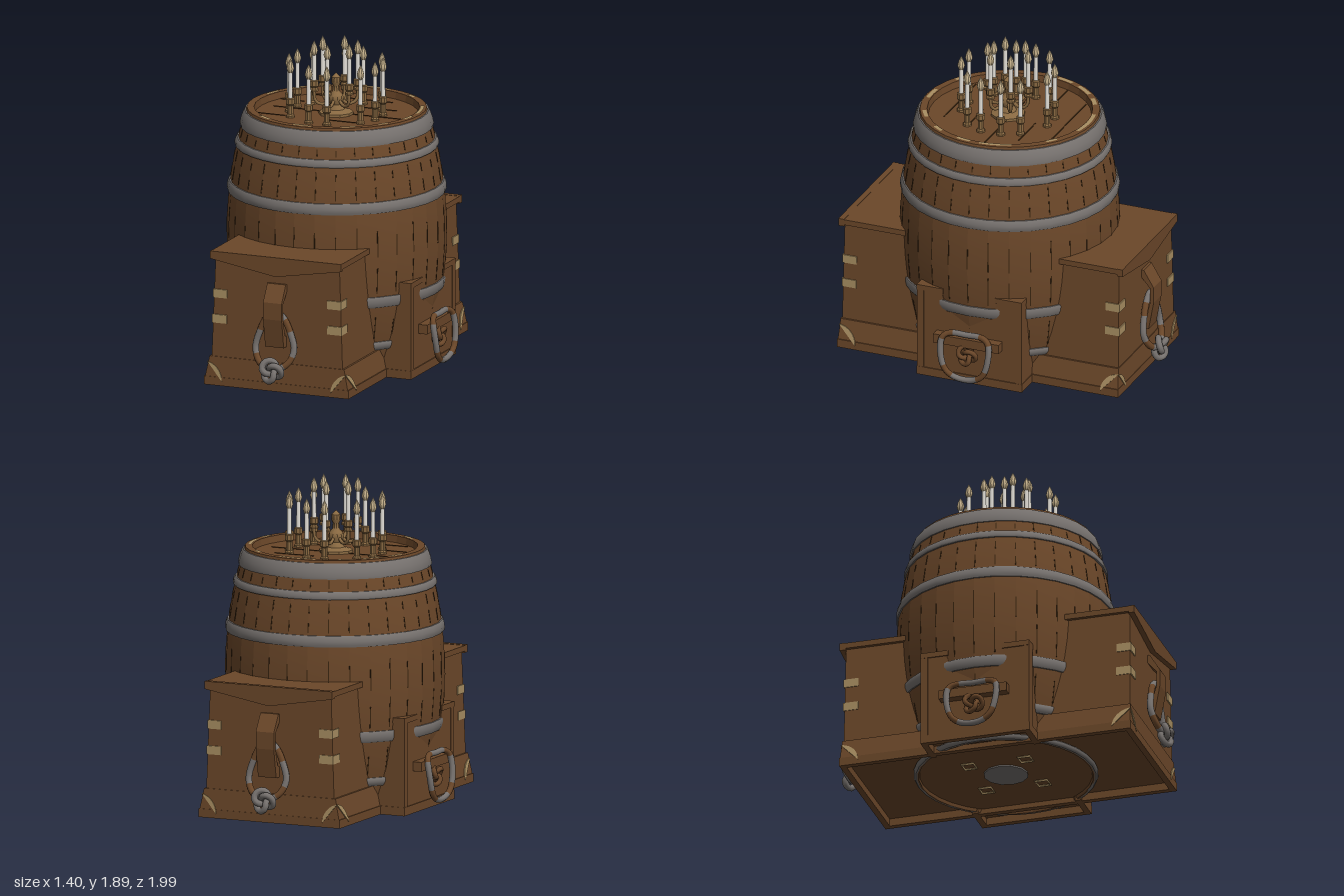
import * as THREE from 'three';
import { mergeGeometries, toCreasedNormals } from 'three/addons/utils/BufferGeometryUtils.js';

const mat = (name, color, side = THREE.FrontSide) => {
  const m = new THREE.MeshStandardMaterial({ color, side });
  m.name = name;
  return m;
};
const V2 = (x, y) => new THREE.Vector2(x, y);
const V3 = (x, y, z) => new THREE.Vector3(x, y, z);

export function createModel() {
  const wood = mat('wood', 0x6b4729);
  const gap = mat('dark gap', 0x38240f);
  const iron = mat('iron', 0x77726f);
  const brass = mat('pale brass', 0xa98f62);
  const bronze = mat('bronze', 0x8a6a42);
  const wax = mat('wax', 0xe6e2da);
  const flameMat = mat('flame', 0xcdb891);

  const model = new THREE.Group();
  const add = (parent, name, geo, material) => {
    const m = new THREE.Mesh(geo, material);
    m.name = name;
    parent.add(m);
    return m;
  };
  const group = (parent, name) => {
    const g = new THREE.Group();
    g.name = name;
    parent.add(g);
    return g;
  };
  // box given by its min and max corners
  const box = (x0, x1, y0, y1, z0, z1) => new THREE.BoxGeometry(x1 - x0, y1 - y0, z1 - z0)
    .translate((x0 + x1) / 2, (y0 + y1) / 2, (z0 + z1) / 2);
  // box tapering from half-sizes (a0, b0) at y0 to (a1, b1) at y1
  const frustum = (y0, a0, b0, y1, a1, b1) => {
    const g = new THREE.BoxGeometry(2, 2, 2), p = g.attributes.position;
    for (let i = 0; i < p.count; i++) {
      const up = p.getY(i) > 0;
      p.setXYZ(i, p.getX(i) * (up ? a1 : a0), up ? y1 : y0, p.getZ(i) * (up ? b1 : b0));
    }
    g.computeVertexNormals();
    return g;
  };
  const lathe = (pts, seg, crease = 0.6) =>
    toCreasedNormals(new THREE.LatheGeometry(pts.map(p => V2(...p)), seg), crease);
  const extrude = (pts, depth) => new THREE.ExtrudeGeometry(
    new THREE.Shape(pts.map(p => V2(...p))), { depth, bevelEnabled: false });

  // ---- barrel ----
  const barrel = group(model, 'barrel');
  barrel.position.z = -0.012;
  const R = y => 0.635 - 0.115 * ((y - 0.76) / 0.73) ** 2;
  const profile = [[0, 0.03], [0.5, 0.03], [0.505, 0.01]];
  for (let i = 0; i <= 14; i++) {
    const y = 0.01 + i * 1.48 / 14;
    profile.push([R(y), y]);
  }
  profile.push([0.478, 1.49], [0.472, 1.45], [0, 1.45]);
  add(barrel, 'staves', lathe(profile, 32, 0.15), wood);

  // iron hoops follow the bulge
  for (const [y0, y1] of [[0.01, 0.04], [0.17, 0.22], [0.435, 0.5], [1.0, 1.065], [1.27, 1.315], [1.385, 1.475]]) {
    const m = (y0 + y1) / 2, e = (y1 - y0) * 0.15;
    add(barrel, 'hoop', lathe([[R(y0) - 0.01, y0], [R(y0) + 0.008, y0], [R(y0 + e) + 0.013, y0 + e],
      [R(m) + 0.015, m], [R(y1 - e) + 0.013, y1 - e], [R(y1) + 0.008, y1], [R(y1) - 0.01, y1]], 32), iron);
  }

  // dark seams between the staves
  const seams = [];
  for (let i = 0; i < 32; i++) {
    const long = i % 3;
    for (const [y0, y1] of [[0.24, 0.4], [0.52, 0.7], [0.74, 0.92], [1.08, 1.16], [1.19, 1.25], [1.33, 1.38]]) {
      const b = y1 - (y1 - y0) * (0.15 * long), g = new THREE.BoxGeometry(0.006, b - y0, 0.006);
      g.rotateX(Math.atan2(R(b) - R(y0), b - y0));
      g.translate(0, (y0 + b) / 2, (R(y0) + R(b)) / 2 - 0.001);
      seams.push(g.rotateY(i * Math.PI / 16));
    }
  }
  add(barrel, 'staveSeams', mergeGeometries(seams), gap);

  // plank seams on the lid
  for (const [z, x0, x1] of [[-0.35, -0.3, 0.2], [-0.18, -0.43, -0.28], [-0.18, 0.05, 0.3], [-0.01, -0.4, 0.4],
    [0.17, -0.43, -0.25], [0.17, 0.0, 0.2], [0.34, -0.3, 0.17]])
    add(barrel, 'lidSeam', box(x0, x1, 1.449, 1.453, z - 0.004, z + 0.004), gap);

  // worn metal patches around the rim: [start angle, sweep] in degrees
  for (const [a, w] of [[75, 28], [118, 10], [135, 14], [156, 12], [2, 22], [48, 8], [230, 12], [262, 14],
    [296, 10], [322, 8], [345, 10]]) {
    add(barrel, 'rimPatch', new THREE.RingGeometry(0.482, 0.505, 6, 1, a * Math.PI / 180, w * Math.PI / 180)
      .rotateX(-Math.PI / 2).translate(0, 1.493, 0), brass);
  }

  // fittings under the barrel
  add(barrel, 'bottomPlate', new THREE.CylinderGeometry(0.13, 0.13, 0.01, 12).translate(0, 0.026, 0), iron);
  for (const sx of [-1, 1]) for (const sz of [-1, 1])
    add(barrel, 'bottomSquare', new THREE.TorusGeometry(0.05, 0.008, 4, 4).rotateZ(Math.PI / 4)
      .rotateX(Math.PI / 2).translate(sx * 0.17, 0.026, sz * 0.17), brass);

  // ---- candles ----
  const candles = group(model, 'candles');
  const candle = (x, z, y, base) => {
    const c = group(candles, 'candle');
    c.position.set(x, y, z);
    add(c, 'candleHolder', lathe([[0, -base], [0.026, -base], [0.026, 0.01 - base], [0.018, 0.02 - base], [0.018, -0.045],
      [0.026, -0.035], [0.026, -0.005], [0.02, 0], [0, 0]], 8), bronze);
    add(c, 'candleStick', new THREE.CylinderGeometry(0.013, 0.014, 0.17, 8).translate(0, 0.08, 0), wax);
    add(c, 'candleFlame', lathe([[0, 0.14], [0.014, 0.15], [0.023, 0.175], [0.015, 0.205], [0, 0.235]], 8), flameMat);
  };
  for (const deg of [12, -14, 36, 78, 102, 140, 167, 193, 218, 258, 282, 322]) {
    const a = deg * Math.PI / 180;
    candle(0.275 * Math.cos(a), 0.275 * Math.sin(a), 1.565, 0.115);
  }

  // central candelabrum with six arms
  add(candles, 'centrePost', lathe([[0, 1.45], [0.1, 1.45], [0.1, 1.465], [0.05, 1.48], [0.035, 1.51], [0.045, 1.54],
    [0.04, 1.565], [0.022, 1.585], [0.018, 1.62], [0.028, 1.64], [0.025, 1.67], [0, 1.695]], 10), bronze);
  for (let i = 0; i < 6; i++) {
    const a = Math.PI / 2 + i * Math.PI / 3, r = 0.127;
    candle(r * Math.cos(a), r * Math.sin(a), 1.655, 0.065);
    const curve = new THREE.CatmullRomCurve3([V3(0.03, 1.54, 0), V3(0.06, 1.515, 0), V3(0.1, 1.515, 0),
      V3(0.122, 1.54, 0), V3(r, 1.6, 0)]);
    add(candles, 'candleArm', new THREE.TubeGeometry(curve, 12, 0.01, 6).rotateY(-a), bronze);
  }

  // closed ring handle whose metal alternates between iron and brown
  const ring = (parent, pts, radius) => {
    const curve = new THREE.CatmullRomCurve3(pts, true);
    const g = new THREE.TubeGeometry(curve, 48, radius, 8, true);
    for (let i = 0; i < 12; i++) g.addGroup(i * 4 * 48, 4 * 48, i % 3 === 1 ? 1 : 0);
    add(parent, 'ringHandle', g, [iron, wood]);
  };

  // ---- long chest, front to back under the barrel ----
  const chest = group(model, 'longChest');
  add(chest, 'chestPlinth', frustum(0.045, 0.448, 0.877, 0.17, 0.422, 0.87), wood);
  add(chest, 'chestBody', frustum(0.17, 0.41, 0.865, 0.77, 0.388, 0.858), wood);
  add(chest, 'chestLid', box(-0.41, 0.41, 0.765, 0.798, -0.885, 0.885), wood);
  for (const s of [-1, 1]) {
    add(chest, 'plinthSideRim', box(s * 0.435 - 0.018, s * 0.435 + 0.018, 0, 0.05, -0.88, 0.88), wood);
    add(chest, 'plinthEndRim', box(-0.453, 0.453, 0, 0.05, s * 0.862 - 0.018, s * 0.862 + 0.018), wood);
  }

  // brass corner caps and bands, mirrored to the four corners
  const sector = (a0, a1) => {
    const s = new THREE.Shape();
    s.moveTo(0, 0);
    s.absarc(0, 0, 0.115, a0, a1, false);
    return new THREE.ExtrudeGeometry(s, { depth: 0.008, bevelEnabled: false, curveSegments: 5 });
  };
  for (const sx of [-1, 1]) for (const sz of [-1, 1]) {
    const c = group(chest, 'cornerMetal');
    c.scale.set(sx, 1, sz);
    add(c, 'cornerCapFront', sector(Math.PI / 2 + 0.2, Math.PI).rotateX(-0.056).translate(0.456, 0.025, 0.875), brass);
    add(c, 'cornerCapSide', sector(0, Math.PI / 2 - 0.06).rotateX(-0.2).rotateY(Math.PI / 2)
      .translate(0.45, 0.025, 0.882), brass);
    add(c, 'upperBand', box(0.315, 0.402, 0.52, 0.57, 0.78, 0.868), brass);
    add(c, 'lowerBand', box(0.315, 0.406, 0.37, 0.42, 0.78, 0.87), brass);
  }

  for (const turn of [0, Math.PI]) {
    const end = group(chest, 'chestEnd');
    end.rotation.y = turn;
    add(end, 'pediment', extrude([[-0.41, 0.8], [-0.41, 0.755], [0, 0.685], [0.41, 0.755], [0.41, 0.8]], 0.035)
      .translate(0, 0, 0.855), wood);
    // bowed strap, profile in (z, y)
    add(end, 'strap', extrude([[0.855, 0.64], [0.875, 0.64], [0.936, 0.54], [0.936, 0.44], [0.905, 0.27], [0.86, 0.27],
      [0.86, 0.33], [0.885, 0.34], [0.915, 0.44], [0.915, 0.53], [0.855, 0.6]].map(([z, y]) => [-z, y]), 0.116)
      .rotateY(Math.PI / 2).translate(-0.058, 0, 0), wood);
    ring(end, [V3(0, 0.48, 0.89), V3(0.055, 0.44, 0.89), V3(0.095, 0.36, 0.892), V3(0.12, 0.26, 0.9), V3(0.085, 0.18, 0.925),
      V3(0, 0.145, 0.945), V3(-0.085, 0.18, 0.925), V3(-0.12, 0.26, 0.9), V3(-0.095, 0.36, 0.892), V3(-0.055, 0.44, 0.89)], 0.02);
    add(end, 'ringKnot', new THREE.TorusKnotGeometry(0.042, 0.019, 48, 8).translate(0, 0.14, 0.956), iron);
  }

  // ---- side boxes ----
  for (const turn of [0, Math.PI]) {
    const side = group(model, 'sideBox');
    side.position.z = -0.012;
    side.rotation.y = turn;
    add(side, 'sidePanel', extrude([[-0.325, 0.045], [0.325, 0.045], [0.325, 0.55], [0.175, 0.55], [0.14, 0.43],
      [-0.14, 0.43], [-0.175, 0.55], [-0.325, 0.55]], 0.25).rotateY(Math.PI / 2).translate(0.35, 0, 0), wood);
    add(side, 'sideRim', box(0.57, 0.606, 0, 0.05, -0.33, 0.33), wood);
    for (const s of [-1, 1]) {
      add(side, 'rimReturn', box(0.4, 0.604, 0, 0.05, s * 0.312 - 0.018, s * 0.312 + 0.018), wood);
      add(side, 'cornerPost', box(0.54, 0.605, 0.04, 0.55, s * 0.307 - 0.021, s * 0.307 + 0.021), wood);
      add(side, 'postCap', box(0.525, 0.607, 0.54, 0.572, s * 0.245 - 0.083, s * 0.245 + 0.083), wood);
    }
    add(side, 'handleBar', box(0.59, 0.655, 0.245, 0.3, -0.205, 0.205), wood);
    ring(side, [V3(0.645, 0.325, 0), V3(0.65, 0.325, 0.1), V3(0.665, 0.3, 0.142), V3(0.682, 0.2, 0.148), V3(0.685, 0.1, 0.115),
      V3(0.68, 0.06, 0.05), V3(0.68, 0.06, -0.05), V3(0.685, 0.1, -0.115), V3(0.682, 0.2, -0.148), V3(0.665, 0.3, -0.142),
      V3(0.65, 0.325, -0.1)], 0.018);
    add(side, 'handleKnot', new THREE.TorusKnotGeometry(0.038, 0.015, 48, 8).rotateY(Math.PI / 2)
      .translate(0.645, 0.195, 0), wood);
  }
  return model;
}
